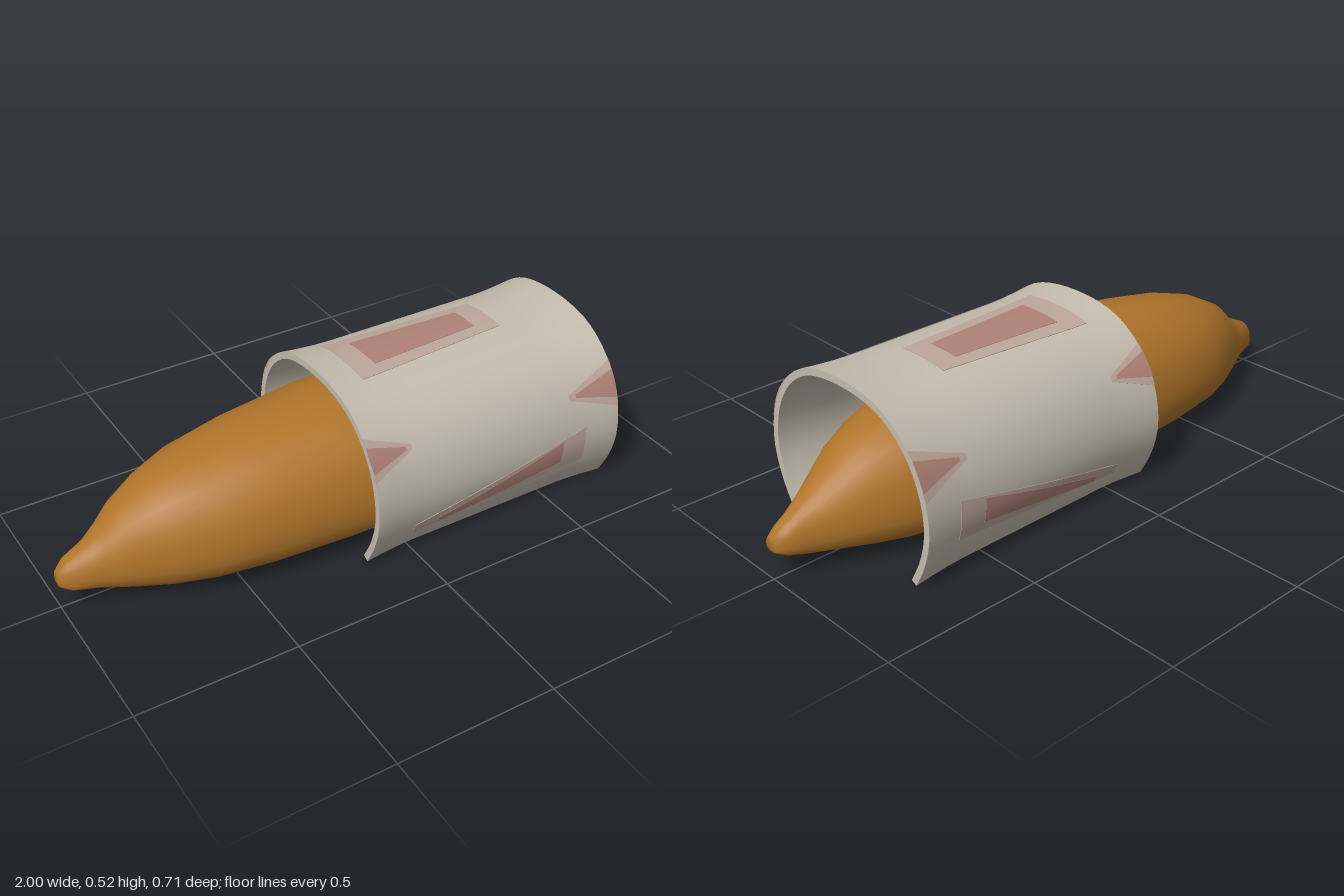
import * as THREE from 'three';
import { toCreasedNormals } from 'three/addons/utils/BufferGeometryUtils.js';

// Skin closed loops along +x; each end is capped by a strip joining point i to n-1-i
function loft(loops, crease) {
  const n = loops[0].length, last = (loops.length - 1) * n, idx = [];
  for (let s = 0; s < loops.length - 1; s++) {
    for (let i = 0; i < n; i++) {
      const a = s * n + i, b = s * n + (i + 1) % n;
      idx.push(a, a + n, b + n, a, b + n, b);
    }
  }
  for (let i = 0; i < n / 2 - 1; i++) {
    const j = n - 1 - i;
    idx.push(i, i + 1, j, i + 1, j - 1, j);
    idx.push(last + i, last + j, last + i + 1, last + i + 1, last + j, last + j - 1);
  }
  const g = new THREE.BufferGeometry();
  g.setAttribute('position', new THREE.Float32BufferAttribute(loops.flat().flatMap((p) => [p.x, p.y, p.z]), 3));
  g.setIndex(idx);
  return toCreasedNormals(g, crease);
}

function makeMesh(name, geometry, color) {
  const mesh = new THREE.Mesh(geometry, new THREE.MeshStandardMaterial({ color }));
  mesh.name = name;
  return mesh;
}

// Loaf: stations are [x, bottom, top, half width]
const STATIONS = [
  [-1, 0.085, 0.13, 0.02], [-0.97, 0.07, 0.16, 0.045], [-0.9, 0.06, 0.192, 0.067], [-0.85, 0.053, 0.23, 0.093],
  [-0.8, 0.045, 0.28, 0.12], [-0.7, 0.036, 0.333, 0.17], [-0.58, 0.033, 0.37, 0.217], [-0.4, 0.028, 0.402, 0.246],
  [-0.15, 0.027, 0.428, 0.268], [0.1, 0.027, 0.435, 0.274], [0.3, 0.027, 0.428, 0.263], [0.5, 0.029, 0.4, 0.23],
  [0.65, 0.034, 0.355, 0.185], [0.74, 0.04, 0.318, 0.145], [0.8, 0.047, 0.272, 0.115], [0.87, 0.055, 0.218, 0.08],
  [0.93, 0.063, 0.18, 0.052], [0.97, 0.075, 0.155, 0.042], [1, 0.09, 0.135, 0.022],
];
// Half cross-section as [width, height] fractions, flat underside first
const HALF = [[0.25, 0], [0.5, 0], [0.8, 0.05], [0.94, 0.14], [1, 0.27], [1, 0.4], [0.95, 0.57],
  [0.85, 0.72], [0.72, 0.82], [0.58, 0.9], [0.38, 0.96], [0.16, 1]];
const SECTION = [...HALF, ...HALF.slice().reverse().map(([w, h]) => [-w, h])];

function loafGeometry() {
  return loft(STATIONS.map(([x, low, top, half]) =>
    SECTION.map(([w, h]) => new THREE.Vector3(x, low + (top - low) * h, w * half))), 1.1);
}

// Wrapper: an open arch, running from its +z foot (u = 0) to its -z foot (u = 1)
const SIDE = [[0.28, 0.005], [0.32, 0.085], [0.343, 0.18], [0.334, 0.275], [0.3, 0.36], [0.243, 0.43], [0.165, 0.48], [0.08, 0.501]];
const ARCH = new THREE.CatmullRomCurve3(
  [...SIDE, [0, 0.506], ...SIDE.slice().reverse().map(([z, y]) => [-z, y])].map(([z, y]) => new THREE.Vector3(0, y, z)));
const X0 = -0.145, X1 = 0.74;

function archPoint(x, u, offset) {
  const p = ARCH.getPointAt(u), t = ARCH.getTangentAt(u);
  const edge = Math.min(x - X0, X1 - x);
  const d = offset + 0.012 * Math.max(0, 1 - edge / 0.16) ** 1.5; // flared mouths
  return new THREE.Vector3(x, Math.max(0, p.y - t.z * d), p.z + t.y * d);
}

// A curved sheet on the arch; range(k) gives its [uStart, uEnd] at fraction k of its length
function sheet(x0, x1, range, outer, inner, across, along) {
  const loops = [];
  for (let s = 0; s <= along; s++) {
    const k = s / along, x = x0 + (x1 - x0) * k, [a, b] = range(k);
    const row = (d) => Array.from({ length: across + 1 }, (_, i) => archPoint(x, a + (b - a) * i / across, d));
    loops.push([...row(outer), ...row(inner).reverse()]);
  }
  return loft(loops, 0.8);
}

// Faded red stains: [x0, x1, centre u at x0, at x1, half width at x0, at x1]
const SIDE_STAINS = [
  [0.0, 0.62, 0.06, 0.125, 0.012, 0.045],
  [X0, 0.0, 0.265, 0.265, 0.045, 0.006],
  [0.57, X1, 0.245, 0.245, 0.006, 0.05],
];
const STAINS = [
  ...SIDE_STAINS,
  ...SIDE_STAINS.map(([a, b, c, d, e, f]) => [a, b, 1 - c, 1 - d, e, f]),
  [-0.04, 0.48, 0.52, 0.52, 0.085, 0.06],
];

export function createModel() {
  const model = new THREE.Group();
  model.name = 'wrappedLoaf';
  model.add(makeMesh('loaf', loafGeometry(), 0xb0742a));

  const wrapper = new THREE.Group();
  wrapper.name = 'wrapper';
  wrapper.add(makeMesh('paperSleeve', sheet(X0, X1, () => [0, 1], 0, -0.022, 40, 16), 0xc4bcae));

  // Each stain is a pale patch with a smaller, darker heart
  for (const [x0, x1, c0, c1, h0, h1] of STAINS) {
    const layers = [[1, 0.0015, 0xbda79a], [0.6, 0.0025, 0xb08378]];
    for (const [size, lift, color] of layers) {
      const trim = (1 - size) * 0.35 * (x1 - x0);
      const range = (k) => {
        const c = c0 + (c1 - c0) * k, h = (h0 + (h1 - h0) * k) * size;
        return [c - h, c + h];
      };
      const a = x0 === X0 ? x0 : x0 + trim, b = x1 === X1 ? x1 : x1 - trim;
      wrapper.add(makeMesh('stain', sheet(a, b, range, lift, -0.004, 8, 10), color));
    }
  }
  model.add(wrapper);
  return model;
}
